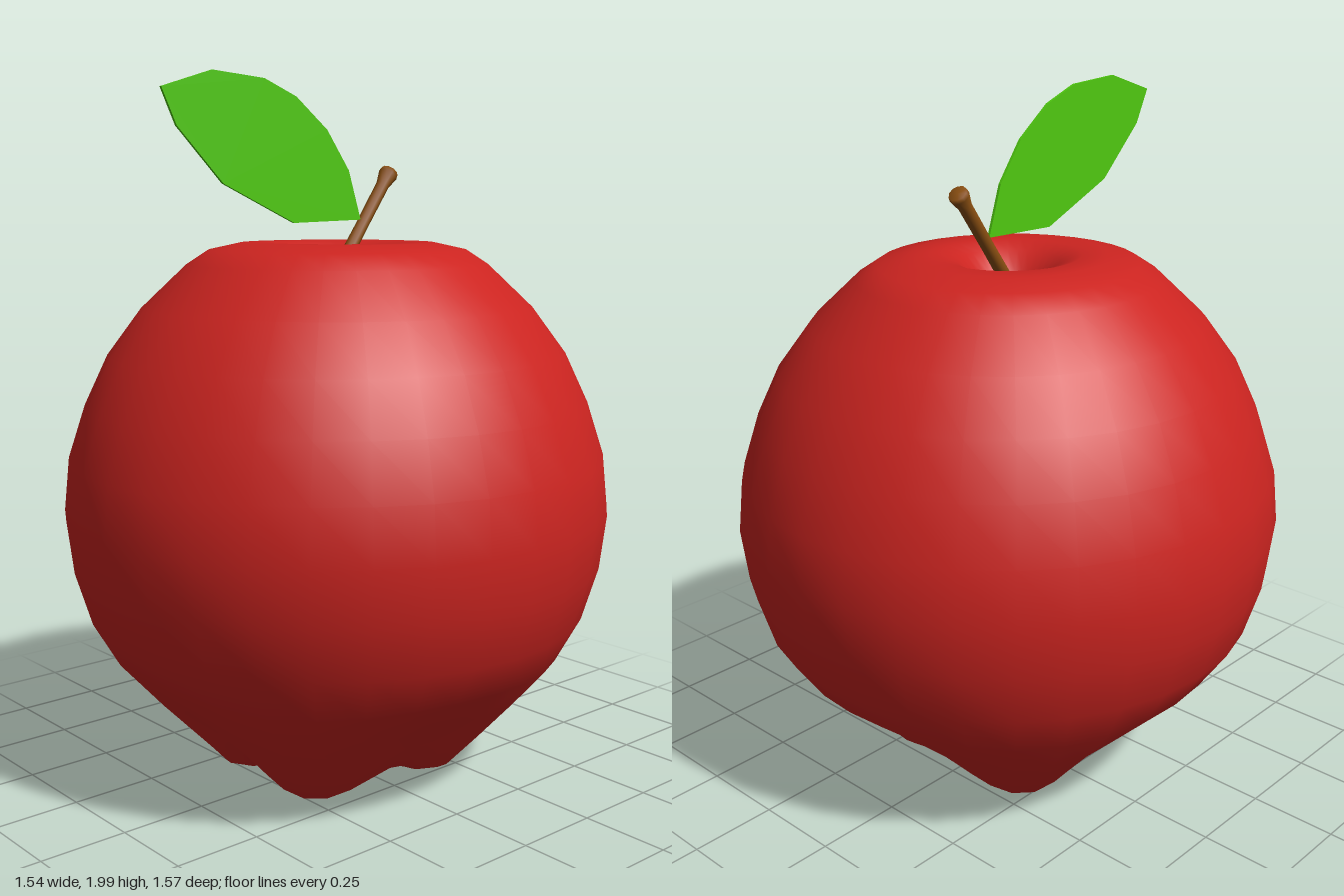
import * as THREE from 'three';
import { mergeVertices } from 'three/addons/utils/BufferGeometryUtils.js';

const material = (color) => new THREE.MeshStandardMaterial({ color });
const toVectors = (pairs) => pairs.map(([a, b]) => new THREE.Vector2(a, b));

// Fruit: a lathe whose underside is pushed into four lobes around a cavity
function createFruit() {
  const profile = toVectors([
    [0, 0.2], [0.07, 0.17], [0.13, 0.09], [0.19, 0.03], [0.26, 0.005], [0.33, 0.025],
    [0.42, 0.12], [0.52, 0.23], [0.635, 0.37], [0.705, 0.5], [0.75, 0.65], [0.768, 0.8],
    [0.753, 0.95], [0.705, 1.1], [0.64, 1.24], [0.545, 1.37], [0.42, 1.49], [0.36, 1.53],
    [0.27, 1.55], [0.2, 1.55], [0.14, 1.53], [0.1, 1.48], [0.06, 1.43], [0, 1.41],
  ]);
  let geometry = new THREE.LatheGeometry(profile, 32);
  const lobes = [37, 128, -128, -37].map(THREE.MathUtils.degToRad);
  const p = geometry.attributes.position;
  for (let i = 0; i < p.count; i++) {
    const x = p.getX(i), y = p.getY(i), z = p.getZ(i);
    const angle = Math.atan2(x, z);
    // 1 on a lobe, falling to 0 in the valleys between
    const lobe = Math.max(...lobes.map((a) => Math.max(0, Math.cos(angle - a)) ** 7));
    const low = 1 - THREE.MathUtils.smoothstep(y, 0.02, 0.5);
    const valley = (1 - lobe) * low * Math.min(1, Math.hypot(x, z) / 0.2);
    const pull = 1 - 0.1 * valley;
    p.setXYZ(i, x * pull, y + 0.075 * valley, z * pull * 1.025);
  }
  geometry.deleteAttribute('uv');
  geometry.deleteAttribute('normal');
  geometry = mergeVertices(geometry, 1e-4);
  geometry.computeVertexNormals();
  const mesh = new THREE.Mesh(geometry, material(0xcc2420));
  mesh.name = 'fruit';
  return mesh;
}

// Stem: a thin rod leaning back, flared at its tip
function createStem() {
  const base = new THREE.Vector3(0.01, 1.42, 0.04);
  const tip = new THREE.Vector3(-0.027, 1.75, -0.225);
  const length = base.distanceTo(tip);
  const profile = toVectors([
    [0, 0], [0.02, 0], [0.018, length * 0.5], [0.019, length * 0.88],
    [0.028, length * 0.97], [0.026, length], [0, length],
  ]);
  const mesh = new THREE.Mesh(new THREE.LatheGeometry(profile, 10), material(0x8a4f12));
  mesh.position.copy(base);
  mesh.quaternion.setFromUnitVectors(new THREE.Vector3(0, 1, 0), tip.sub(base).normalize());
  mesh.name = 'stem';
  return mesh;
}

// Leaf: a thin upright blade reaching forward from the stem
function createLeaf() {
  const outline = toVectors([
    [-0.095, 1.612], [0.15, 1.605], [0.39, 1.71], [0.535, 1.855], [0.58, 1.95],
    [0.42, 2], [0.25, 1.988], [0.14, 1.945], [0.03, 1.86], [-0.05, 1.75],
  ]);
  const geometry = new THREE.ExtrudeGeometry(new THREE.Shape(outline), { depth: 0.008, bevelEnabled: false });
  geometry.rotateY(-Math.PI / 2);
  const mesh = new THREE.Mesh(geometry, material(0x4fc810));
  mesh.position.x = -0.008;
  mesh.name = 'leaf';
  return mesh;
}

export function createModel() {
  const group = new THREE.Group();
  group.name = 'apple';
  group.add(createFruit(), createStem(), createLeaf());
  return group;
}
